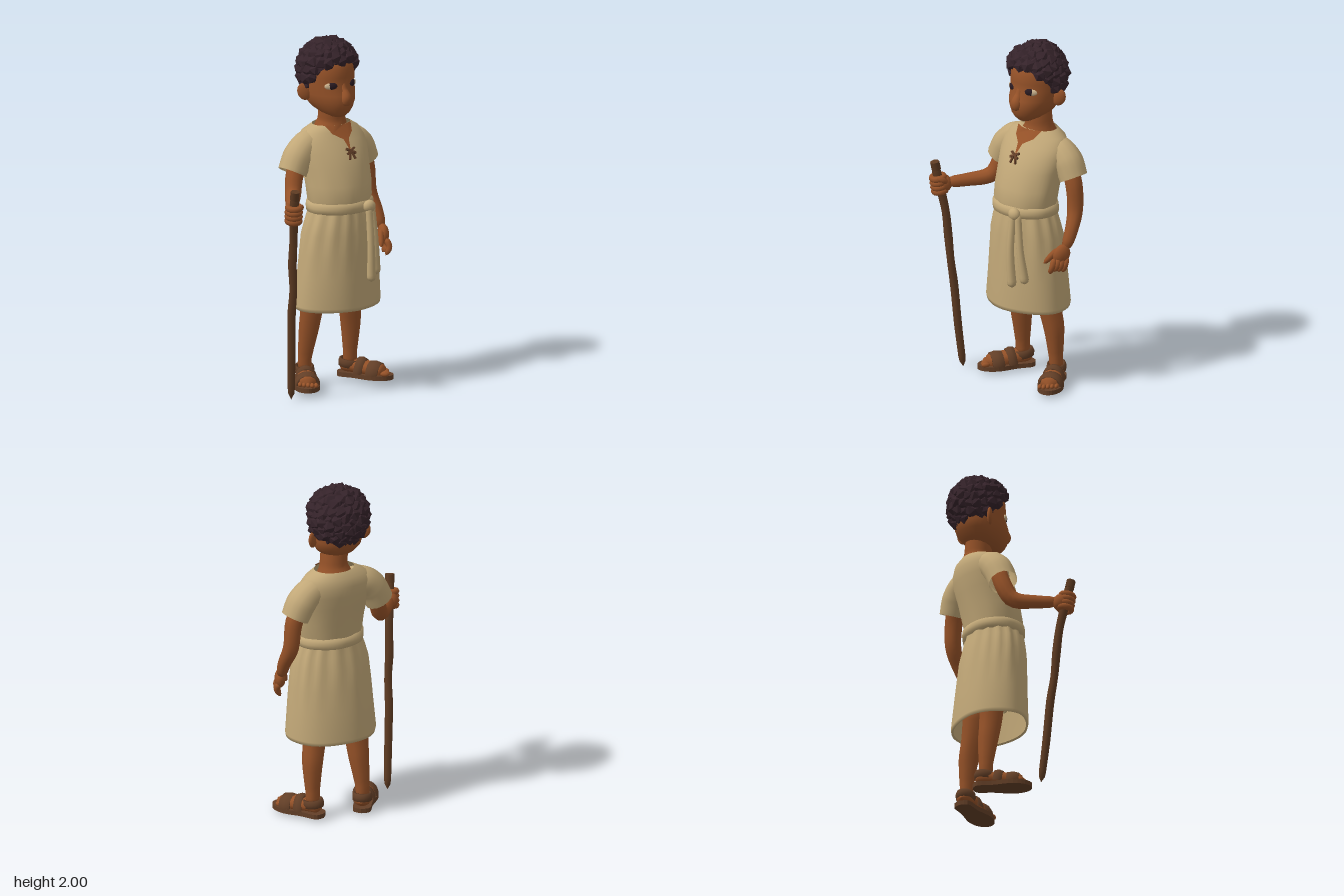
import * as THREE from 'three';
import { mergeVertices, mergeGeometries } from 'three/addons/utils/BufferGeometryUtils.js';

const V = (x, y, z) => new THREE.Vector3(x, y, z);
const YAW = 0.4; // the body and head are turned to the model's left

function paint(name, color, side = THREE.FrontSide) {
  const m = new THREE.MeshStandardMaterial({ color, side });
  m.name = name;
  return m;
}

function add(parent, name, geo, mat, pos = [0, 0, 0], rot = [0, 0, 0], scale = [1, 1, 1]) {
  const m = new THREE.Mesh(geo, mat);
  m.name = name;
  m.position.set(...pos);
  m.rotation.set(...rot);
  m.scale.set(...scale);
  parent.add(m);
  return m;
}

// Tube through [x, y, z, radius] points, with rounded or open end
function limb(pts, { n = 18, sides = 10, open = false } = {}) {
  const curve = new THREE.CatmullRomCurve3(pts.map(p => V(p[0], p[1], p[2])));
  let g = new THREE.TubeGeometry(curve, n, 1, sides);
  const a = g.attributes.position, v = V(0, 0, 0);
  for (let i = 0; i <= n; i++) {
    const c = curve.getPointAt(i / n);
    const t = curve.getUtoTmapping(i / n) * (pts.length - 1);
    const k = Math.min(Math.floor(t), pts.length - 2);
    let r = THREE.MathUtils.lerp(pts[k][3], pts[k + 1][3], t - k);
    if (i === 0 || (i === n && !open)) r = 0.0005;
    else if (i === 1 || (i === n - 1 && !open)) r *= 0.85;
    for (let j = 0; j <= sides; j++) {
      const q = i * (sides + 1) + j;
      v.fromBufferAttribute(a, q).sub(c).multiplyScalar(r).add(c);
      a.setXYZ(q, v.x, v.y, v.z);
    }
  }
  g.deleteAttribute('uv');
  g.deleteAttribute('normal');
  g = mergeVertices(g, 1e-5);
  g.computeVertexNormals();
  return g;
}

// Stack of ovals, bottom to top: [y, centreX, centreZ, halfWidth, front, back]
function loft(rings, yaw, fold = () => 1, seg = 48) {
  const pos = [], idx = [], c = Math.cos(yaw), s = Math.sin(yaw);
  rings.forEach(([y, cx, cz, a, f, b], i) => {
    for (let j = 0; j < seg; j++) {
      const t = j / seg * Math.PI * 2, k = fold(t, y);
      const x = a * Math.sin(t) * k, z = (Math.cos(t) > 0 ? f : b) * Math.cos(t) * k;
      pos.push(cx + x * c + z * s, y, cz - x * s + z * c);
      if (i < rings.length - 1) {
        const p = i * seg + j, q = i * seg + (j + 1) % seg;
        idx.push(p, q, q + seg, p, q + seg, p + seg);
      }
    }
  });
  const g = new THREE.BufferGeometry();
  g.setAttribute('position', new THREE.Float32BufferAttribute(pos, 3));
  g.setIndex(idx);
  g.computeVertexNormals();
  return g;
}

export function createModel() {
  const root = new THREE.Group();
  root.name = 'boyWithStaff';
  const skin = paint('skin', 0x965228, THREE.DoubleSide), cloth = paint('cloth', 0xc2a878, THREE.DoubleSide);
  const hairMat = paint('hair', 0x35232a), wood = paint('wood', 0x5e3b22);
  const leather = paint('leather', 0x633f27), dark = paint('eyeDark', 0x2a1b22), light = paint('eyeLight', 0xcdb48e);
  const ball = new THREE.SphereGeometry(1, 14, 10);

  // Tunic: skirt, bodice, sleeves
  const skirtFold = (t, y) => 1 + 0.03 * Math.sin(t * 15 + Math.sin(t * 3)) * THREE.MathUtils.smoothstep(y, 0.7, 0.98)
    + 0.015 * Math.sin(t * 5 + y * 4);
  add(root, 'skirt', loft([
    [0.475, 0.033, -0.09, 0.25, 0.188, 0.188], [0.468, 0.033, -0.09, 0.26, 0.198, 0.198],
    [0.49, 0.033, -0.09, 0.265, 0.202, 0.202], [0.65, 0.037, -0.085, 0.251, 0.192, 0.192],
    [0.78, 0.04, -0.08, 0.241, 0.183, 0.183], [0.9, 0.042, -0.075, 0.226, 0.173, 0.173],
    [0.98, 0.045, -0.07, 0.205, 0.16, 0.16], [1.05, 0.045, -0.07, 0.18, 0.147, 0.147]], YAW, skirtFold, 72), cloth);
  add(root, 'bodice', loft([
    [1.04, 0.045, -0.07, 0.175, 0.145, 0.145], [1.1, 0.045, -0.07, 0.194, 0.158, 0.155],
    [1.18, 0.04, -0.085, 0.2, 0.16, 0.155], [1.28, 0.03, -0.11, 0.207, 0.157, 0.15],
    [1.36, 0.02, -0.135, 0.22, 0.149, 0.142], [1.42, 0.013, -0.15, 0.215, 0.127, 0.13],
    [1.47, 0.012, -0.16, 0.183, 0.105, 0.112], [1.505, 0.02, -0.16, 0.118, 0.083, 0.09]], YAW,
  (t, y) => 1 + 0.014 * Math.sin(t * 9 + y * 14) * THREE.MathUtils.smoothstep(1.4 - y, 0, 0.3)), cloth);
  add(root, 'rightSleeve', limb([[-0.05, 1.415, -0.135, 0.07], [-0.14, 1.395, -0.095, 0.083],
    [-0.195, 1.34, -0.065, 0.087], [-0.235, 1.255, -0.042, 0.083]], { open: true, sides: 14 }), cloth);
  add(root, 'leftSleeve', limb([[0.08, 1.41, -0.195, 0.07], [0.155, 1.388, -0.235, 0.081],
    [0.205, 1.335, -0.26, 0.087], [0.243, 1.25, -0.277, 0.081]], { open: true, sides: 14 }), cloth);

  // Belt, knot and hanging ends
  add(root, 'belt', loft([[1.022, 0.045, -0.07, 0.18, 0.147, 0.147], [1.03, 0.045, -0.07, 0.199, 0.166, 0.166],
    [1.055, 0.045, -0.07, 0.202, 0.169, 0.169], [1.08, 0.045, -0.07, 0.199, 0.166, 0.166],
    [1.092, 0.045, -0.07, 0.18, 0.147, 0.147]], YAW, (t, y) => 1 + 0.008 * Math.sin(t * 7 + y * 30)), cloth);
  add(root, 'beltKnot', ball, cloth, [0.185, 1.06, 0.06], [0, YAW, 0], [0.038, 0.036, 0.03]);
  add(root, 'beltEnd', limb([[0.18, 1.07, 0.065, 0.02], [0.188, 0.85, 0.085, 0.021], [0.192, 0.66, 0.078, 0.026], [0.192, 0.625, 0.075, 0.026]], { n: 30 }), cloth);
  add(root, 'beltEnd', limb([[0.2, 1.07, 0.045, 0.02], [0.222, 0.85, 0.04, 0.021], [0.232, 0.69, 0.02, 0.026], [0.232, 0.65, 0.016, 0.026]], { n: 30 }), cloth);

  // Neck opening with lace
  const collar = new THREE.Group();
  collar.name = 'collar';
  collar.position.set(0.015, 0, -0.16);
  collar.rotation.y = YAW;
  root.add(collar);
  const slit = new THREE.ShapeGeometry(new THREE.Shape([[0, 1.37], [0.018, 1.435], [0.068, 1.465], [0.09, 1.508],
    [0.045, 1.508], [0, 1.508], [-0.045, 1.508], [-0.09, 1.508], [-0.068, 1.465], [-0.018, 1.435]].map(p => new THREE.Vector2(...p))));
  const sp = slit.attributes.position;
  for (let i = 0; i < sp.count; i++) sp.setZ(i, 0.128 + (1.465 - sp.getY(i)) * 0.68 - sp.getX(i) ** 2 * 3.8);
  slit.computeVertexNormals();
  add(collar, 'neckOpening', slit, skin);
  for (const s of [-1, 1]) {
    add(collar, 'lace', new THREE.BoxGeometry(0.065, 0.012, 0.012), leather, [0, 1.375, 0.192], [-0.5, 0, s * 0.5]);
    add(collar, 'laceEnd', new THREE.BoxGeometry(0.01, 0.05, 0.01), leather, [s * 0.012, 1.352, 0.2], [-0.4, 0, s * 0.3]);
  }

  // Neck and head
  add(root, 'neck', limb([[0.02, 1.42, -0.165, 0.09], [0.02, 1.475, -0.162, 0.1], [0.022, 1.525, -0.16, 0.079], [0.015, 1.67, -0.15, 0.075]], { sides: 14 }), skin);
  const head = new THREE.Group();
  head.name = 'head';
  head.position.set(0, 0, -0.16);
  head.rotation.y = YAW;
  root.add(head);
  add(head, 'face', loft([
    [1.556, 0, 0.1, 0.004, 0.004, 0.004], [1.562, 0, 0.095, 0.04, 0.04, 0.05], [1.582, 0, 0.065, 0.076, 0.092, 0.09],
    [1.61, 0, 0.03, 0.107, 0.143, 0.11], [1.65, 0, 0, 0.132, 0.182, 0.115], [1.69, 0, 0, 0.141, 0.176, 0.13],
    [1.745, 0, 0, 0.144, 0.155, 0.14], [1.79, 0, 0, 0.145, 0.158, 0.145], [1.84, 0, 0, 0.14, 0.156, 0.145],
    [1.88, 0, 0, 0.125, 0.139, 0.13], [1.94, 0, 0, 0.08, 0.085, 0.085], [1.96, 0, 0, 0.002, 0.002, 0.002]], 0, undefined, 28), skin);
  add(head, 'nose', limb([[0, 1.77, 0.132, 0.018], [0, 1.72, 0.148, 0.023], [0, 1.672, 0.17, 0.034], [0, 1.64, 0.155, 0.032]]), skin);
  for (const s of [-1, 1]) {
    add(head, 'eyeWhite', ball, light, [s * 0.079, 1.747, 0.128], [0, s * 0.5, 0], [0.033, 0.019, 0.011]);
    add(head, 'iris', ball, dark, [s * 0.069, 1.748, 0.134], [0, s * 0.48, 0], [0.029, 0.021, 0.012]);
    add(head, 'ear', ball, skin, [s * 0.158, 1.702, -0.01], [0, s * 0.6, -s * 0.3], [0.038, 0.05, 0.016]);
  }

  // Hair: a tilted cap covered in angular tufts
  let seed = 7;
  const rnd = () => (seed = (seed * 16807) % 2147483647) / 2147483647;
  const tufts = [];
  const count = 110;
  for (let i = 0; i < count; i++) {
    const h = 1 - (i + 0.5) / count * 1.33, r = Math.sqrt(1 - h * h), t = i * 2.39996;
    const g = new THREE.IcosahedronGeometry(0.038 + rnd() * 0.01, 0);
    g.rotateX(rnd() * 6).rotateY(rnd() * 6);
    const lift = 0.143 + rnd() * 0.008;
    tufts.push(g.translate(r * Math.cos(t) * lift, h * lift, r * Math.sin(t) * lift));
  }
  const cap = new THREE.SphereGeometry(0.166, 24, 14, 0, Math.PI * 2, 0, 1.95);
  for (const [name, g] of [['hairCap', cap], ['hairTufts', mergeGeometries(tufts)]])
    add(head, name, g.rotateX(-0.82), hairMat, [-0.003, 1.815, 0.001]);

  // Arms
  add(root, 'leftArm', limb([[0.19, 1.36, -0.255, 0.05], [0.248, 1.22, -0.275, 0.05], [0.267, 1.06, -0.275, 0.045],
    [0.302, 0.95, -0.235, 0.037], [0.32, 0.85, -0.19, 0.03]]), skin);
  add(root, 'rightArm', limb([[-0.18, 1.36, -0.07, 0.05], [-0.225, 1.23, -0.035, 0.05], [-0.245, 1.145, 0.015, 0.046],
    [-0.283, 1.118, 0.15, 0.037], [-0.31, 1.11, 0.27, 0.031]]), skin);

  // Left hand, hanging
  add(root, 'leftPalm', ball, skin, [0.323, 0.835, -0.17], [-0.4, 0, 0], [0.032, 0.058, 0.05]);
  for (let k = 0; k < 4; k++) {
    const z = -0.2 + k * 0.026;
    add(root, 'leftFinger', limb([[0.328, 0.82, z, 0.018], [0.342, 0.77, z + 0.018, 0.017],
      [0.318, 0.727 + (k % 3) * 0.006, z + 0.025, 0.013]], { n: 8, sides: 7 }), skin);
  }
  add(root, 'leftThumb', limb([[0.308, 0.865, -0.16, 0.02], [0.296, 0.82, -0.115, 0.018], [0.288, 0.78, -0.075, 0.013]], { n: 8, sides: 7 }), skin);

  // Right hand, gripping the staff
  add(root, 'rightPalm', ball, skin, [-0.312, 1.105, 0.28], [0, 0, 0], [0.047, 0.052, 0.05]);
  for (let k = 0; k < 4; k++)
    add(root, 'rightFinger', new THREE.TorusGeometry(0.034, 0.0185, 7, 14), skin,
      [-0.314, 1.067 + k * 0.026, 0.3 + k * 0.004], [Math.PI / 2 + 0.17, 0, 0]);
  add(root, 'rightThumb', limb([[-0.28, 1.12, 0.27, 0.018], [-0.272, 1.145, 0.31, 0.017], [-0.295, 1.15, 0.342, 0.014]], { n: 8, sides: 7 }), skin);

  // Walking staff
  add(root, 'staff', limb([[-0.312, 1.245, 0.335, 0.026], [-0.312, 1.1, 0.302, 0.026], [-0.306, 0.94, 0.268, 0.023],
    [-0.308, 0.8, 0.252, 0.025], [-0.3, 0.65, 0.24, 0.022], [-0.304, 0.5, 0.218, 0.024],
    [-0.299, 0.25, 0.195, 0.023], [-0.293, 0.0, 0.167, 0.02]], { n: 40, sides: 7 }), wood);
  add(root, 'staffTop', new THREE.CylinderGeometry(0.027, 0.027, 0.05, 7), wood, [-0.312, 1.218, 0.328], [0.22, 0, 0]);

  // Legs
  add(root, 'rightLeg', limb([[-0.103, 0.64, -0.09, 0.075], [-0.108, 0.45, -0.1, 0.066], [-0.12, 0.33, -0.115, 0.059],
    [-0.14, 0.15, -0.13, 0.039], [-0.14, 0.06, -0.13, 0.044]]), skin);
  add(root, 'leftLeg', limb([[0.122, 0.64, -0.16, 0.075], [0.132, 0.45, -0.18, 0.065], [0.142, 0.33, -0.2, 0.059],
    [0.142, 0.15, -0.212, 0.039], [0.142, 0.06, -0.215, 0.044]]), skin);

  // Feet in sandals
  const outline = new THREE.Shape();
  outline.setFromPoints(new THREE.SplineCurve([[0, -0.075], [0.047, -0.05], [0.052, 0.04], [0.072, 0.15], [0.05, 0.23], [0, 0.26],
    [-0.05, 0.23], [-0.072, 0.15], [-0.052, 0.04], [-0.047, -0.05], [0, -0.075]].map(p => new THREE.Vector2(...p))).getPoints(36));
  const sole = new THREE.ExtrudeGeometry(outline, { depth: 0.026, bevelEnabled: false }).rotateX(Math.PI / 2);
  const footGeo = limb([[0, 0.085, -0.06, 0.04], [0, 0.095, -0.01, 0.048], [0, 0.09, 0.07, 0.052], [0, 0.075, 0.16, 0.056], [0, 0.066, 0.215, 0.046]]);
  for (const [side, x, z, yaw, s] of [['right', -0.142, -0.13, -0.15, -1], ['left', 0.142, -0.215, 0.95, 1]]) {
    const foot = new THREE.Group();
    foot.name = side + 'Foot';
    foot.position.set(x, 0, z);
    foot.rotation.y = yaw;
    root.add(foot);
    add(foot, 'sole', sole, leather, [0, 0.042, 0]);
    add(foot, 'foot', footGeo, skin, [0, 0, 0], [0, 0, 0], [1, 0.8, 1]);
    for (let k = 0; k < 5; k++)
      add(foot, 'toe', ball, skin, [s * (k - 2) * 0.022, 0.052, 0.224 - Math.max(0, k - 1) * 0.01], [0, 0, 0], [0.0125, 0.014, 0.024]);
    const arc = new THREE.TorusGeometry(0.055, 0.011, 6, 14, Math.PI);
    add(foot, 'toeStrap', arc, leather, [0, 0.04, 0.15], [0.1, 0, 0], [1.12, 1.1, 3.6]);
    add(foot, 'instepStrap', arc, leather, [0, 0.042, 0.065], [0.15, 0, 0], [1, 1.35, 2.6]);
    add(foot, 'heelStrap', new THREE.TorusGeometry(0.047, 0.01, 6, 18), leather, [0, 0.092, -0.005], [Math.PI / 2 + 0.15, 0, 0], [1, 1.1, 2.6]);
  }
  return root;
}
